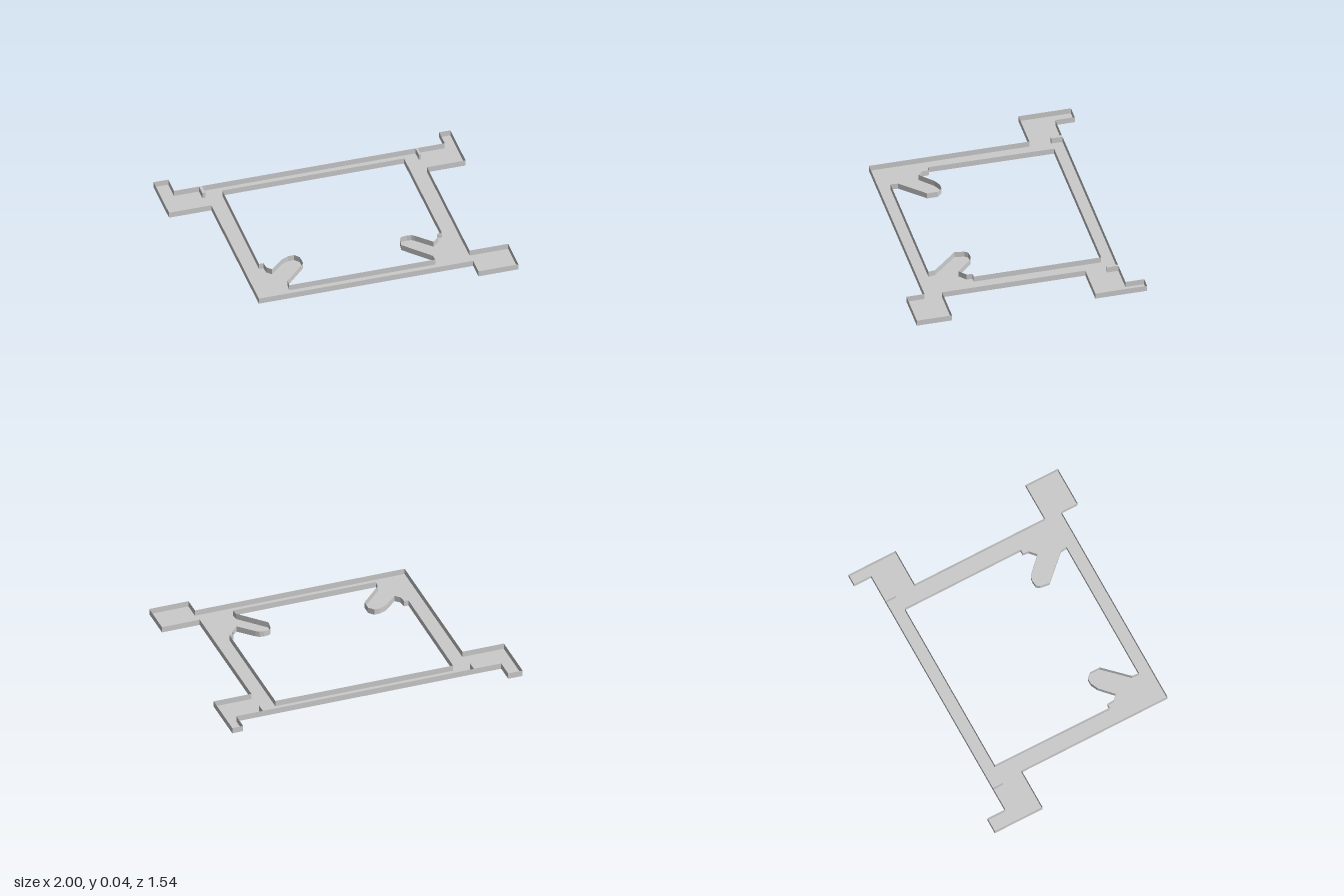
import * as THREE from 'three';

const HEIGHT = 0.04;
const material = new THREE.MeshStandardMaterial({ color: 0xcccccc, flatShading: true, side: THREE.DoubleSide });

// Plan outlines as [x, z] pairs
const outer = [
  [-1, -0.77], [-0.9, -0.77], [-0.9, -0.64], [0.925, -0.64], [0.925, -0.765], [1, -0.765],
  [1, -0.42], [0.74, -0.42], [0.74, 0.535], [1, 0.535], [1, 0.77], [0.73, 0.77],
  [0.73, 0.65], [-0.715, 0.65], [-0.715, -0.42], [-1, -0.42],
];
const opening = [
  [-0.6, -0.555], [0.625, -0.555], [0.625, 0.295], [0.595, 0.295], [0.59, 0.335], [0.545, 0.375],
  // left finger
  [0.45, 0.28], [0.43, 0.265], [0.4, 0.26], [0.36, 0.265], [0.345, 0.285], [0.335, 0.35], [0.495, 0.52], [0.5, 0.565],
  // right finger
  [-0.485, 0.565], [-0.48, 0.515], [-0.33, 0.36], [-0.33, 0.29], [-0.36, 0.257], [-0.4, 0.257], [-0.45, 0.28],
  [-0.54, 0.365], [-0.57, 0.335], [-0.575, 0.285], [-0.605, 0.285],
];

const toPoints = (list) => list.map(([x, z]) => new THREE.Vector2(x, z));

// Thin upright wall following a closed outline
function wall(name, list) {
  const positions = [];
  list.forEach(([x0, z0], i) => {
    const [x1, z1] = list[(i + 1) % list.length];
    positions.push(x0, 0, z0, x1, 0, z1, x1, HEIGHT, z1);
    positions.push(x0, 0, z0, x1, HEIGHT, z1, x0, HEIGHT, z0);
  });
  const geometry = new THREE.BufferGeometry();
  geometry.setAttribute('position', new THREE.Float32BufferAttribute(positions, 3));
  geometry.computeVertexNormals();
  const mesh = new THREE.Mesh(geometry, material);
  mesh.name = name;
  return mesh;
}

export function createModel() {
  const group = new THREE.Group();
  group.name = 'frameTray';

  // Flat floor of the tray with the large opening
  const shape = new THREE.Shape(toPoints(outer));
  shape.holes.push(new THREE.Path(toPoints(opening)));
  const floor = new THREE.Mesh(new THREE.ShapeGeometry(shape).rotateX(Math.PI / 2), material);
  floor.name = 'floor';
  group.add(floor);

  // Rims around the outside and the opening
  group.add(wall('outerRim', outer), wall('openingRim', opening));

  // Small ribs standing against the back rim
  for (const [name, x, width] of [['rightRib', -0.722, 0.02], ['leftRib', 0.735, 0.014]]) {
    const rib = new THREE.Mesh(new THREE.BoxGeometry(width, HEIGHT, 0.075), material);
    rib.position.set(x, HEIGHT / 2, -0.6025);
    rib.name = name;
    group.add(rib);
  }
  return group;
}
